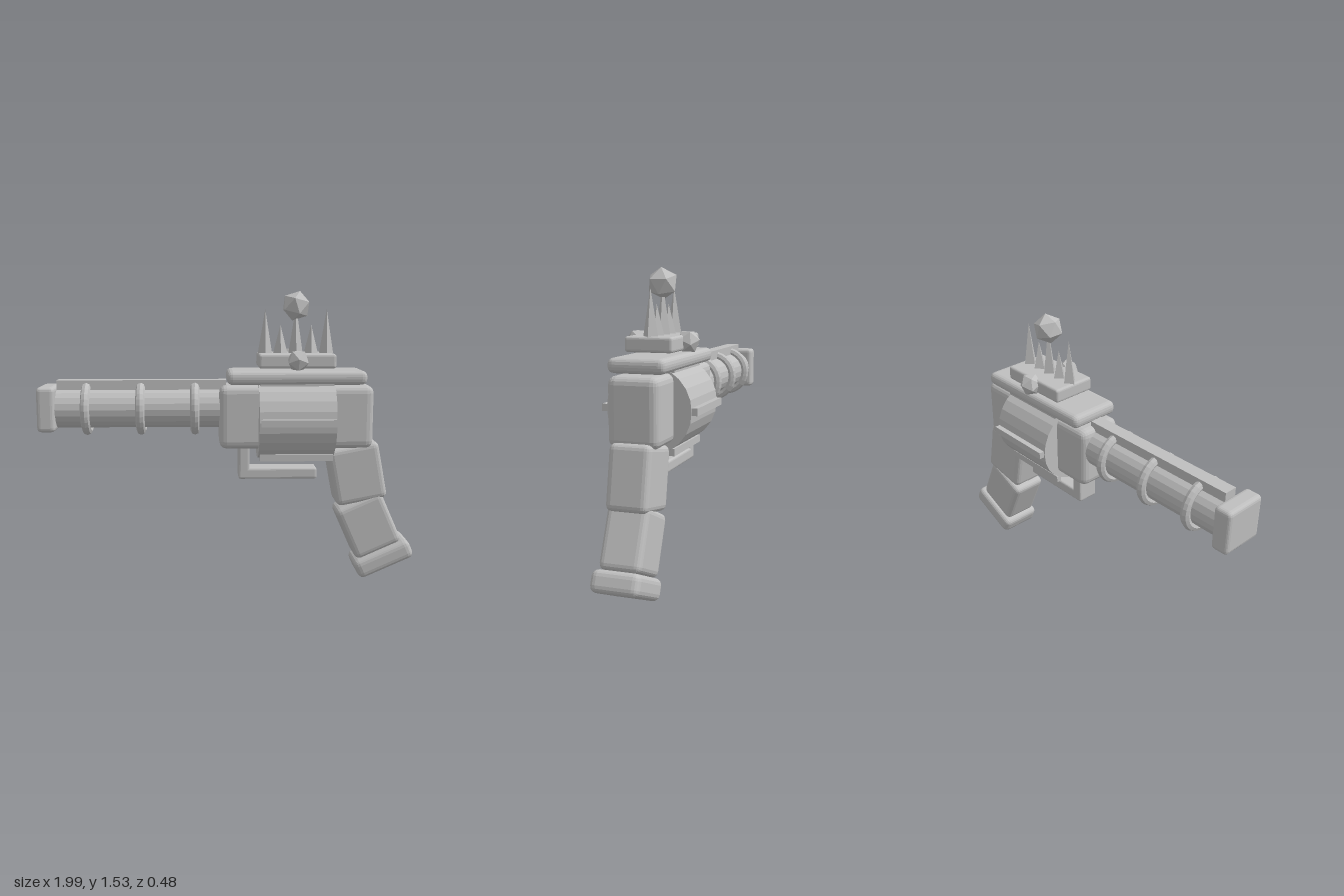
import * as THREE from 'three';
import { RoundedBoxGeometry } from 'three/addons/geometries/RoundedBoxGeometry.js';

export function createModel() {
  const model = new THREE.Group();
  const metal = new THREE.MeshStandardMaterial({ color: 0xbfbfbf, flatShading: true });
  metal.name = 'plain grey';

  const add = (name, geometry, x, y, z = 0) => {
    const mesh = new THREE.Mesh(geometry, metal);
    mesh.name = name;
    mesh.position.set(x, y, z);
    model.add(mesh);
    return mesh;
  };
  const rounded = (name, w, h, d, r, x, y, tilt = 0) => {
    const mesh = add(name, new RoundedBoxGeometry(w, h, d, 2, r), x, y);
    mesh.rotation.z = tilt;
    return mesh;
  };
  const alongX = (name, radius, x0, x1, y, sides) => {
    const mesh = add(name, new THREE.CylinderGeometry(radius, radius, x1 - x0, sides), (x0 + x1) / 2, y);
    mesh.rotation.z = Math.PI / 2;
  };

  // Barrel with its top rib, rings and muzzle block
  alongX('barrel', 0.105, -0.92, 0, 0.925, 20);
  add('barrelRib', new THREE.BoxGeometry(0.89, 0.055, 0.07), -0.46, 1.047);
  rounded('muzzle', 0.095, 0.235, 0.235, 0.022, -0.953, 0.927);
  for (const x of [-0.75, -0.465, -0.18]) {
    add('barrelRing', new THREE.TorusGeometry(0.119, 0.024, 8, 28), x, 0.923).rotation.y = Math.PI / 2;
  }

  // Body and top plate
  rounded('body', 0.81, 0.332, 0.252, 0.04, 0.352, 0.883);
  rounded('topPlate', 0.73, 0.072, 0.284, 0.03, 0.352, 1.091);

  // Drum with six raised bars
  alongX('drum', 0.215, 0.152, 0.55, 0.87, 24);
  for (let i = 0; i < 6; i++) {
    const a = (i * Math.PI) / 3;
    add('drumBar', new THREE.BoxGeometry(0.385, 0.036, 0.028), 0.352, 0.87 + 0.228 * Math.sin(a), 0.228 * Math.cos(a));
  }

  // Trigger guard
  rounded('guardPost', 0.06, 0.21, 0.12, 0.012, 0.08, 0.65);
  rounded('guardBar', 0.42, 0.06, 0.12, 0.012, 0.26, 0.575);

  // Bent grip and its foot
  rounded('upperGrip', 0.275, 0.31, 0.206, 0.03, 0.683, 0.575, 0.19);
  rounded('lowerGrip', 0.265, 0.3, 0.204, 0.03, 0.75, 0.29, 0.42);
  rounded('gripFoot', 0.32, 0.105, 0.236, 0.032, 0.835, 0.107, 0.42);

  // Crown: base, spikes and gems
  rounded('crownBase', 0.402, 0.075, 0.24, 0.014, 0.353, 1.177);
  [0.23, 0.15, 0.25, 0.15, 0.23].forEach((h, i) => {
    add('crownSpike', new THREE.ConeGeometry(0.038, h, 4), 0.353 + (i - 2) * 0.081, 1.212 + h / 2);
  });
  add('topGem', new THREE.IcosahedronGeometry(0.079), 0.353, 1.46).rotation.z = 0.3;
  for (const side of [1, -1]) {
    add('sideGem', new THREE.IcosahedronGeometry(0.06), 0.353, 1.182, side * 0.13).rotation.x = side * 0.4;
  }

  return model;
}
